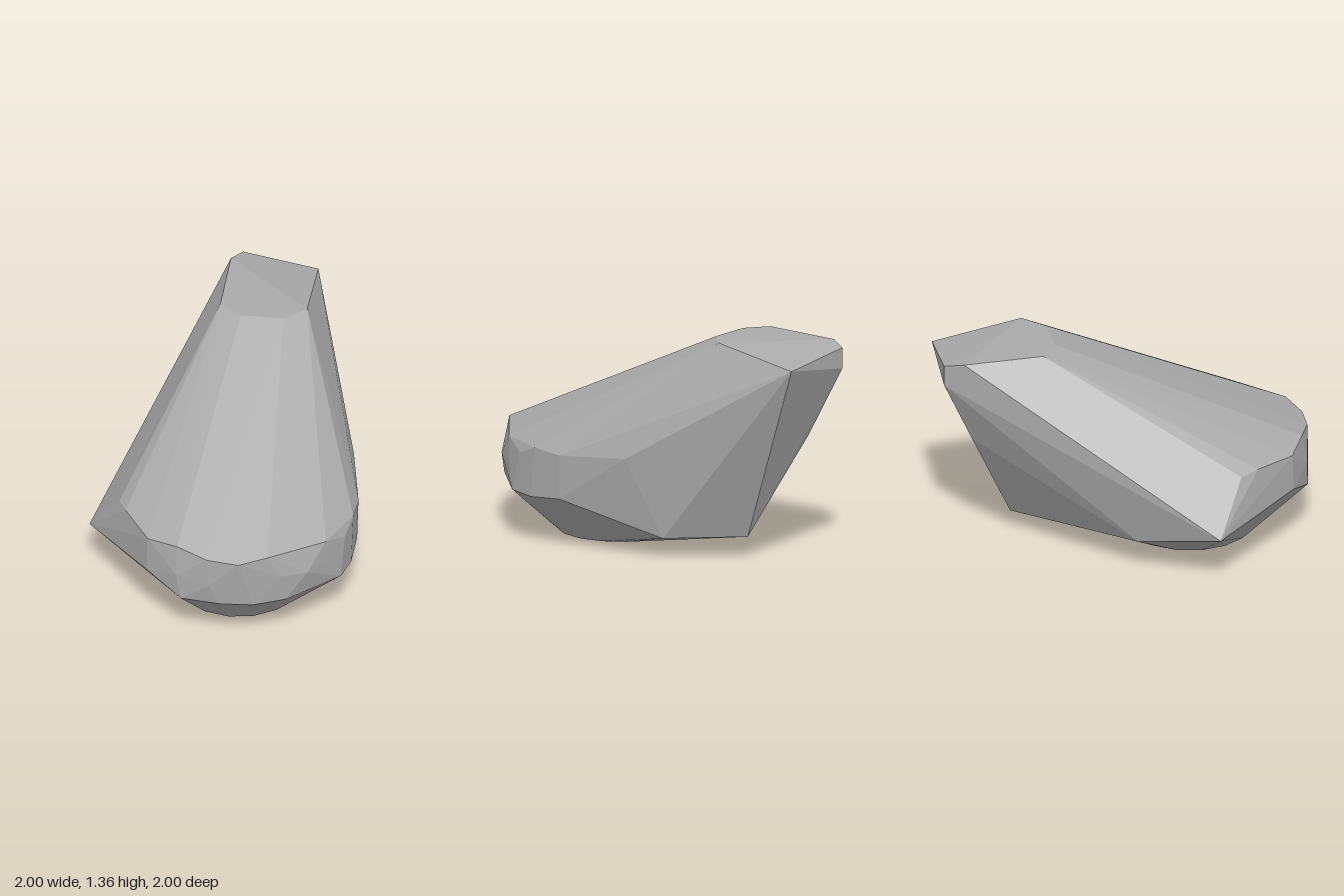
import * as THREE from 'three';
import { ConvexGeometry } from 'three/addons/geometries/ConvexGeometry.js';

const toPoints = (rows) => rows.map((p) => new THREE.Vector3(...p));

// Flat round foot the body stands on
function footRing(radius, sides) {
  const points = [];
  for (let i = 0; i < sides; i++) {
    const a = (i / sides) * Math.PI * 2;
    points.push(new THREE.Vector3(0.27 + radius * Math.cos(a), 0, 0.27 + radius * Math.sin(a)));
  }
  return points;
}

export function createModel() {
  const group = new THREE.Group();
  const grey = new THREE.MeshStandardMaterial({ color: 0xaaaaaa });
  grey.name = 'plain grey';

  // Raised end: level top with a drooping tip
  const raisedEnd = toPoints([
    [-0.96, 1.355, -0.56], [-1, 1.33, -0.68], [-1, 1.2, -0.68], [-0.6, 1.36, -0.22],
    [-0.43, 1.36, -0.25], [-0.25, 1.36, -0.44], [-0.25, 1.36, -0.62], [-0.66, 1.265, -1],
  ]);

  // Upper shoulder of the rounded body
  const shoulder = toPoints([
    [-0.1, 0.64, 0.9], [0.02, 0.655, 0.94], [0.32, 0.635, 0.99], [0.53, 0.665, 0.92],
    [0.72, 0.635, 0.83], [0.86, 0.625, 0.7], [0.93, 0.65, 0.53], [0.97, 0.625, 0.12],
    [0.84, 0.62, -0.18], [0.7, 0.6, -0.32], [0.32, 0.63, -0.56],
  ]);

  // Widest band
  const belly = toPoints([
    [0.32, 0.41, 1], [0.55, 0.48, 0.945], [0.73, 0.45, 0.83], [0.83, 0.48, 0.71],
    [0.97, 0.5, 0.45], [1, 0.48, 0.28], [0.975, 0.48, 0.1], [0.92, 0.56, -0.06],
  ]);

  // Lower edge above the taper to the foot
  const lowerEdge = toPoints([
    [0.58, 0.315, 0.93], [0.77, 0.315, 0.77], [0.89, 0.31, 0.61], [0.97, 0.32, 0.42],
    [0.96, 0.315, 0], [0.86, 0.305, -0.15], [0.7, 0.325, -0.31],
  ]);

  // Projecting corners at the side and rear
  const corners = toPoints([
    [-0.37, 0.325, 0.93], [-0.47, 0.21, 0.39], [-0.43, 0.13, -0.58],
    [0.09, 0.13, -0.58], [-0.8, 0.77, -0.61],
  ]);

  const geometry = new ConvexGeometry([
    ...raisedEnd, ...shoulder, ...belly, ...lowerEdge, ...corners, ...footRing(0.39, 16),
  ]);
  const hull = new THREE.Mesh(geometry, grey);
  hull.name = 'facetedHull';
  group.add(hull);
  return group;
}
